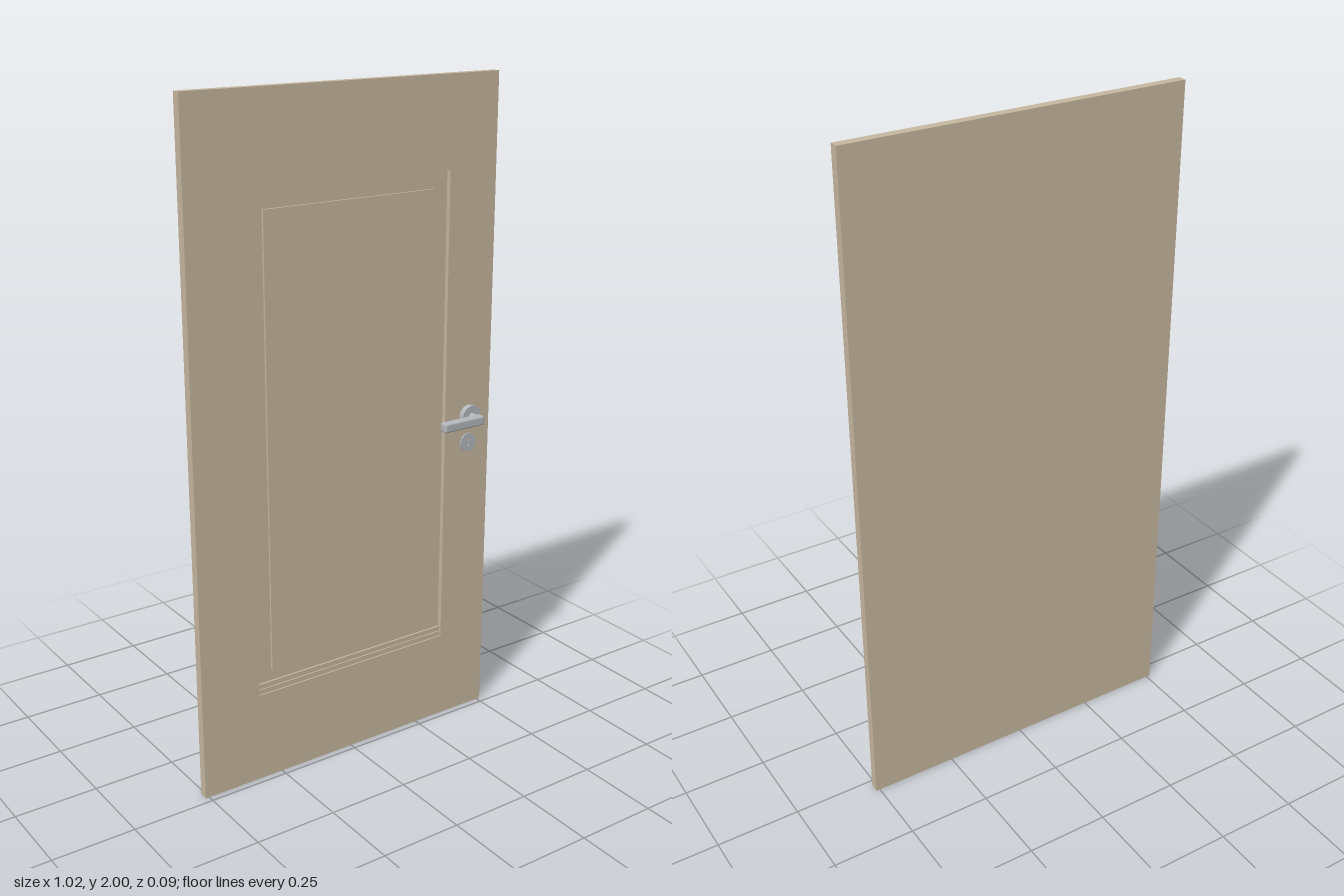
import * as THREE from 'three';
import { RoundedBoxGeometry } from 'three/addons/geometries/RoundedBoxGeometry.js';

const BACK = -0.047, FLOOR = -0.034, FRONT = -0.02;

export function createModel() {
  const door = new THREE.Group();
  door.name = 'door';
  const paint = new THREE.MeshStandardMaterial({ color: 0xc6b89f });
  paint.name = 'beige paint';
  const metal = new THREE.MeshStandardMaterial({ color: 0xb5b8bc });
  metal.name = 'satin metal';

  const add = (name, geometry, material, parent = door) => {
    const mesh = new THREE.Mesh(geometry, material);
    mesh.name = name;
    parent.add(mesh);
    return mesh;
  };
  // Box given by its two opposite corners
  const block = (name, x0, x1, y0, y1, z0, z1) => {
    const mesh = add(name, new THREE.BoxGeometry(x1 - x0, y1 - y0, z1 - z0), paint);
    mesh.position.set((x0 + x1) / 2, (y0 + y1) / 2, (z0 + z1) / 2);
  };
  const rect = (path, x0, x1, y0, y1) => path
    .moveTo(x0, y0).lineTo(x1, y0).lineTo(x1, y1).lineTo(x0, y1).closePath();

  // Door leaf: solid back and a front frame around the recess
  const L = -0.323, R = 0.344, B = 0.275, T = 1.735;
  block('backSlab', -0.512, 0.512, 0, 2, BACK, FLOOR);
  const outline = new THREE.Shape();
  rect(outline, -0.512, 0.512, 0, 2);
  const opening = new THREE.Path();
  rect(opening, L, R, B, T);
  outline.holes.push(opening);
  const frame = new THREE.ExtrudeGeometry(outline, { depth: FRONT - FLOOR, bevelEnabled: false });
  add('frontFrame', frame, paint).position.z = FLOOR;

  // Centre panel standing in the recess, and the stepped sill below it
  block('centrePanel', L + 0.05, R - 0.05, 0.34, T - 0.05, FLOOR, FRONT - 0.007);
  for (let i = 0; i < 2; i++) {
    block('sillStep' + (i + 1), L, R, B, B + 0.015 * (i + 1), FLOOR, FRONT - 0.004 * (i + 1));
  }

  // Lever handle: rosette, stem and grip
  const handle = new THREE.Group();
  handle.name = 'handle';
  handle.position.set(0.433, 0.99, 0);
  door.add(handle);
  const rosette = add('rosette', new THREE.CylinderGeometry(0.034, 0.034, 0.017, 40), metal, handle);
  rosette.rotation.x = Math.PI / 2;
  rosette.position.z = FRONT + 0.0085;
  const stem = add('stem', new THREE.CylinderGeometry(0.0115, 0.0115, 0.038, 24), metal, handle);
  stem.rotation.x = Math.PI / 2;
  stem.position.z = 0.014;
  const grip = add('lever', new RoundedBoxGeometry(0.147, 0.029, 0.028, 3, 0.006), metal, handle);
  grip.position.set(-0.063, -0.001, 0.031);

  // Thin key plate with a keyhole
  const plate = new THREE.Shape().absarc(0, 0, 0.029, 0, Math.PI * 2, false);
  const keyhole = new THREE.Path();
  keyhole.moveTo(-0.003, -0.013).lineTo(-0.003, 0.004);
  keyhole.absarc(0, 0.008, 0.005, Math.PI * 1.25, -Math.PI * 0.25, true);
  keyhole.lineTo(0.003, -0.013).closePath();
  plate.holes.push(keyhole);
  const plateGeometry = new THREE.ExtrudeGeometry(plate, { depth: 0.004, bevelEnabled: false, curveSegments: 20 });
  add('keyPlate', plateGeometry, metal).position.set(0.433, 0.905, FRONT);

  return door;
}
